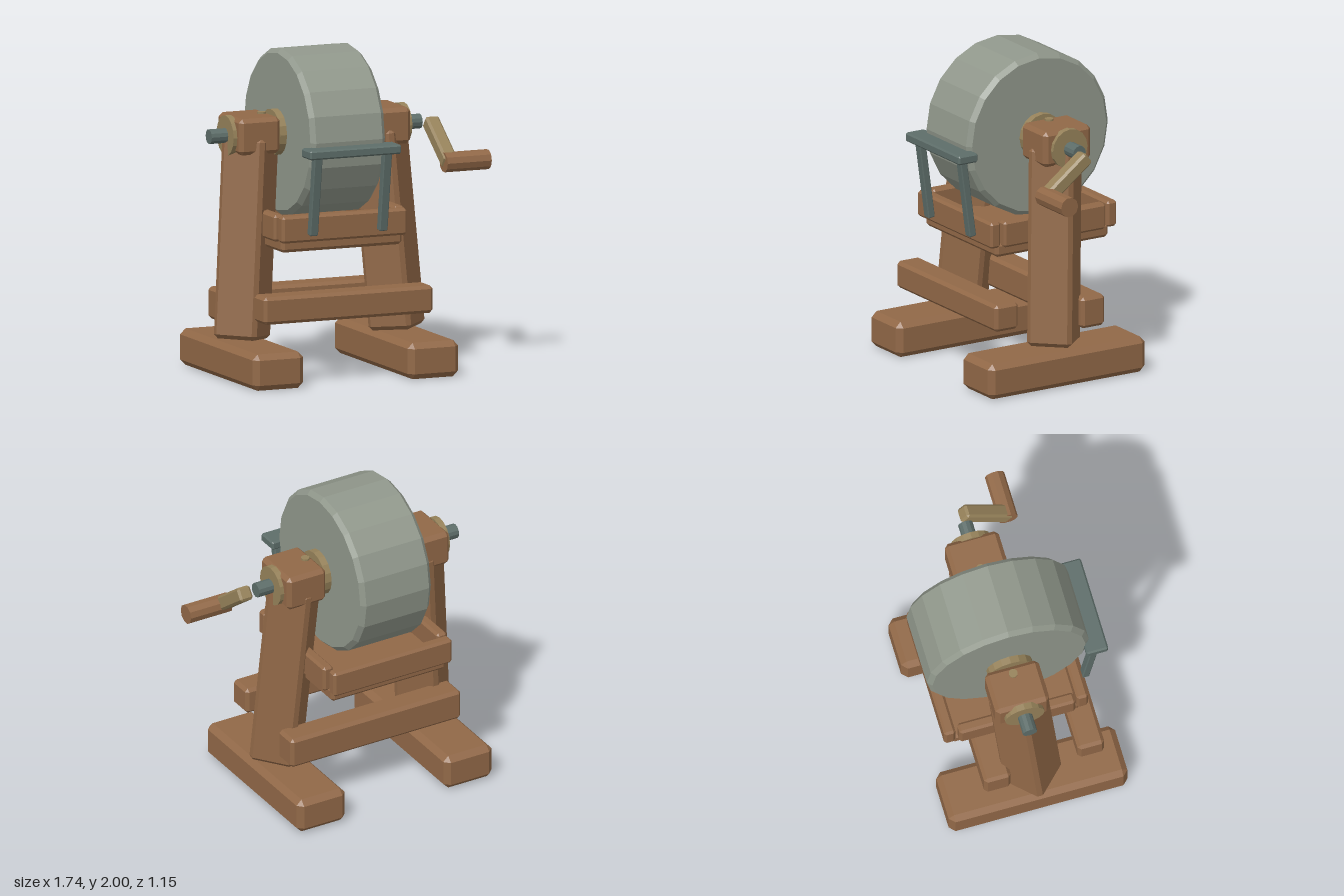
import * as THREE from 'three';
import { ConvexGeometry } from 'three/addons/geometries/ConvexGeometry.js';

const material = (name, color) => {
  const m = new THREE.MeshStandardMaterial({ color });
  m.name = name;
  return m;
};

// Box with every edge cut at 45 degrees
function chamferBox(w, h, d, c) {
  const points = [];
  for (const sx of [-1, 1]) for (const sy of [-1, 1]) for (const sz of [-1, 1]) {
    const x = w / 2, y = h / 2, z = d / 2;
    points.push(
      new THREE.Vector3(sx * x, sy * (y - c), sz * (z - c)),
      new THREE.Vector3(sx * (x - c), sy * y, sz * (z - c)),
      new THREE.Vector3(sx * (x - c), sy * (y - c), sz * z));
  }
  return new ConvexGeometry(points);
}

// Faceted normals
function facet(geometry) {
  const g = geometry.toNonIndexed();
  g.computeVertexNormals();
  return g;
}

export function createModel() {
  const wood = material('wood', 0x916847);
  const stone = material('stone', 0x90978b);
  const steel = material('steel', 0x5d6d69);
  const brass = material('brass', 0x96825a);

  const model = new THREE.Group();
  model.name = 'grindingWheel';
  const add = (name, geometry, mat) => {
    const mesh = new THREE.Mesh(geometry, mat);
    mesh.name = name;
    model.add(mesh);
    return mesh;
  };

  // Chamfered block between two limits on each axis
  const block = (name, mat, [x0, x1], [y0, y1], [z0, z1], c) => {
    const mesh = add(name, chamferBox(x1 - x0, y1 - y0, z1 - z0, c), mat);
    mesh.position.set((x0 + x1) / 2, (y0 + y1) / 2, (z0 + z1) / 2);
    return mesh;
  };

  // Cylinder lying along x
  const rod = (name, mat, x0, x1, r, y, z, sides) => {
    const g = new THREE.CylinderGeometry(r, r, x1 - x0, sides).rotateZ(Math.PI / 2);
    const mesh = add(name, facet(g), mat);
    mesh.position.set((x0 + x1) / 2, y, z);
    return mesh;
  };

  // Chamfered bar between two points, turned by yaw about its own length
  const bar = (name, mat, a, b, w, d, c, yaw = 0) => {
    const dir = b.clone().sub(a);
    const mesh = add(name, chamferBox(w, dir.length(), d, c).rotateY(yaw), mat);
    mesh.quaternion.setFromUnitVectors(new THREE.Vector3(0, 1, 0), dir.normalize());
    mesh.position.copy(a).add(b).multiplyScalar(0.5);
    return mesh;
  };

  const midX = -0.165, axleY = 1.486, axleZ = -0.06;
  const V = (x, y, z) => new THREE.Vector3(x, y, z);

  // Stone wheel with chamfered rim
  const profile = [[0, -0.25], [0.487, -0.25], [0.515, -0.222], [0.515, 0.222], [0.487, 0.25], [0, 0.25]]
    .map(([r, y]) => new THREE.Vector2(r, y));
  const wheel = add('wheel', facet(new THREE.LatheGeometry(profile, 20).rotateZ(Math.PI / 2)), stone);
  wheel.position.set(midX, axleY, axleZ);

  // Axle and hub
  rod('axle', steel, -0.875, 0.54, 0.046, axleY, axleZ, 12);
  rod('hub', brass, -0.46, 0.13, 0.144, axleY, axleZ, 16);

  // Mirrored supports
  for (const s of [-1, 1]) {
    const span = (a, b) => [midX + s * a, midX + s * b].sort((p, q) => p - q);
    block('foot', wood, span(0.35, 0.69), [0, 0.225], [-0.562, 0.575], 0.035);
    bar('post', wood, V(midX + s * 0.52, 0.235, 0.01), V(midX + s * 0.431, 1.47, -0.06),
      0.28, 0.28, 0.025, Math.PI / 4);
    block('bearingBlock', wood, span(0.3, 0.575), [1.38, 1.605], [-0.235, 0.108], 0.025);
    const [f0, f1] = span(0.56, 0.6);
    rod('bearingFlange', brass, f0, f1, 0.125, axleY, axleZ, 16);
    const peg = add('peg', facet(new THREE.CylinderGeometry(0.028, 0.028, 0.06, 10)), brass);
    peg.position.set(midX + s * 0.355, 1.587, -0.064);
    block('traySide', wood, span(0.367, 0.438), [0.87, 1.035], [-0.427, 0.312], 0.015);

    // Tool rest leg
    bar('restLeg', steel, V(midX + s * 0.233, 0.917, 0.425), V(midX + s * 0.233, 1.42, 0.495),
      0.055, 0.048, 0.006);
  }

  // Stretchers between the posts
  block('frontStretcher', wood, [-0.735, 0.4], [0.385, 0.555], [0.287, 0.457], 0.02);
  block('backStretcher', wood, [-0.77, 0.435], [0.317, 0.515], [-0.317, -0.147], 0.02);

  // Trough under the wheel
  block('trayFloor', wood, [-0.57, 0.24], [0.805, 0.895], [-0.47, 0.35], 0.02);
  block('trayFront', wood, [-0.587, 0.252], [0.87, 1.035], [0.323, 0.397], 0.015);
  block('trayBack', wood, [-0.587, 0.252], [0.87, 1.035], [-0.52, -0.447], 0.015);

  // Tool rest
  block('restPlate', steel, [-0.472, 0.14], [1.403, 1.46], [0.418, 0.557], 0.01);

  // Crank
  bar('crankArm', brass, V(0.61, 1.486, axleZ), V(0.61, 1.263, 0.235), 0.09, 0.09, 0.014);
  rod('crankHandle', wood, 0.573, 0.868, 0.062, 1.27, 0.222, 10);

  return model;
}
